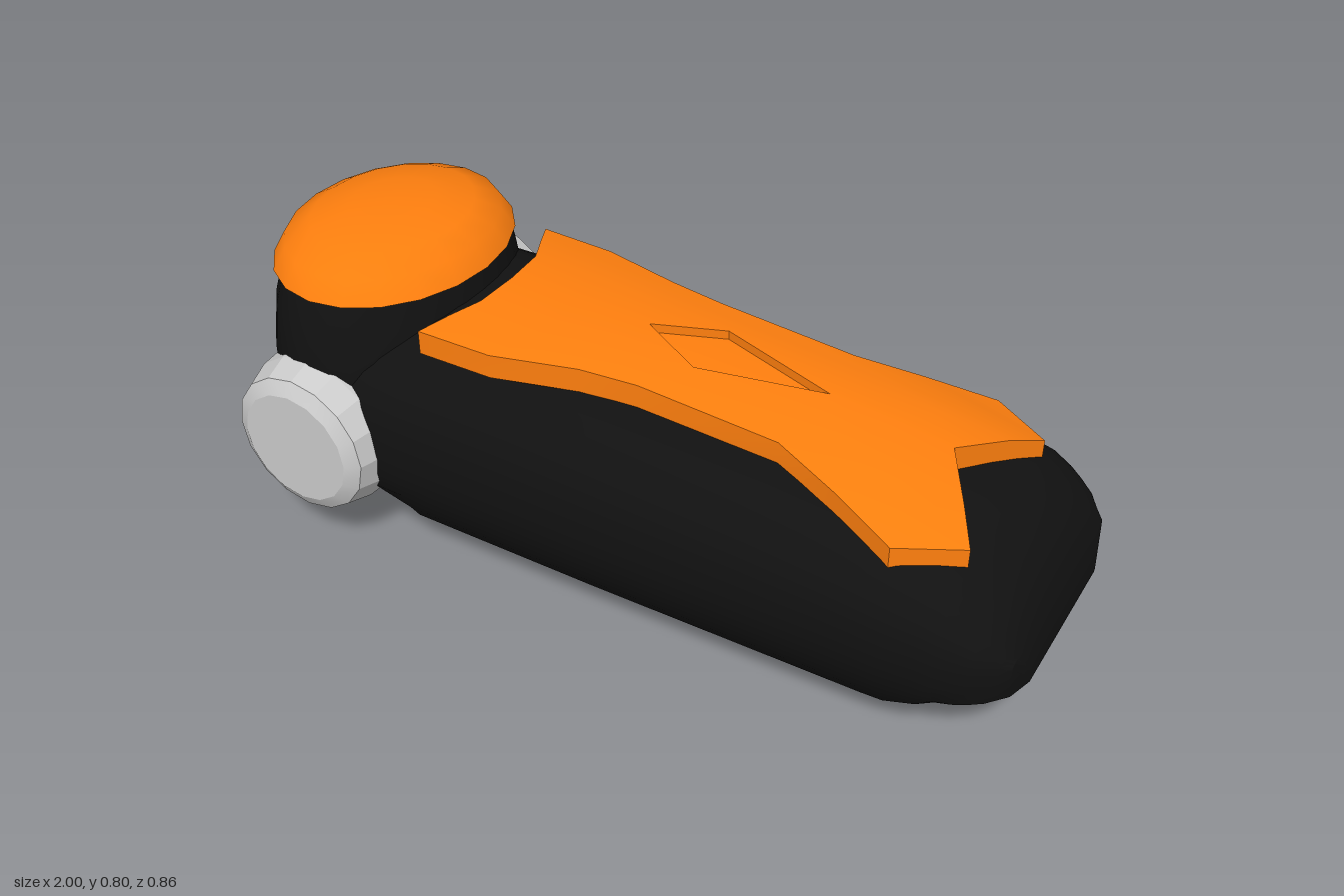
import * as THREE from 'three';
import { toCreasedNormals } from 'three/addons/utils/BufferGeometryUtils.js';

const black = new THREE.MeshStandardMaterial({ color: 0x111111 });
const orange = new THREE.MeshStandardMaterial({ color: 0xff7f0e });
const grey = new THREE.MeshStandardMaterial({ color: 0xcccccc });

// Piecewise linear lookup through [x, value] pairs
function lerpTable(table, x) {
  if (x <= table[0][0]) return table[0][1];
  for (let i = 1; i < table.length; i++) {
    const [x0, v0] = table[i - 1], [x1, v1] = table[i];
    if (x <= x1) return v0 + (v1 - v0) * (x - x0) / (x1 - x0);
  }
  return table[table.length - 1][1];
}

// Triangle collector turned into a geometry with sharp creases
function surface(build, crease) {
  const pos = [];
  const tri = (...pts) => pts.forEach(p => pos.push(...p));
  const quad = (a, b, c, d) => { tri(a, b, c); tri(a, c, d); };
  build(tri, quad);
  const g = new THREE.BufferGeometry();
  g.setAttribute('position', new THREE.Float32BufferAttribute(pos, 3));
  return toCreasedNormals(g, crease);
}

function part(group, name, geometry, material) {
  const m = new THREE.Mesh(geometry, material);
  m.name = name;
  group.add(m);
  return m;
}

// Height of the body's centre ridge, half-width, and the cut along its underside
const ridge = [[-1, 0.58], [-0.96, 0.62], [-0.5, 0.625], [-0.2, 0.625], [0, 0.62], [0.4, 0.595],
  [0.71, 0.56], [0.84, 0.525], [0.88, 0.5], [0.94, 0.44], [0.98, 0.36], [1, 0.275]];
const halfWidth = [[-1, 0.06], [-0.98, 0.14], [-0.94, 0.23], [-0.85, 0.305], [-0.75, 0.345], [-0.6, 0.366],
  [0, 0.372], [0.7, 0.367], [0.85, 0.35], [0.93, 0.32], [0.98, 0.27], [1, 0.2]];
const underside = [[-1, 0.38], [-0.97, 0.24], [-0.95, 0.17], [-0.9, 0.21], [-0.85, 0.24], [-0.65, 0.24],
  [-0.58, 0.205], [-0.34, 0], [0.58, 0], [0.8, 0.19], [0.88, 0.235], [1, 0.255]];

function bodyGeometry() {
  const xs = [-1, -0.98, -0.97, -0.95, -0.9, -0.85, -0.75, -0.65, -0.58, -0.5, -0.42, -0.34, -0.2, 0, 0.2, 0.4,
    0.58, 0.65, 0.72, 0.8, 0.84, 0.88, 0.91, 0.94, 0.96, 0.98, 1];
  const N = 40;
  const rings = xs.map(x => {
    const top = lerpTable(ridge, x), w = lerpTable(halfWidth, x), cut = lerpTable(underside, x);
    const mid = Math.min(0.34, top - 0.012);
    return Array.from({ length: N }, (_, j) => {
      const t = j / N * Math.PI * 2, c = Math.cos(t), s = Math.sin(t);
      const e = s > 0 ? 2 / 2.7 : 1;
      const z = w * Math.sign(c) * Math.abs(c) ** e;
      const y = s > 0 ? mid + (top - mid) * s ** e : mid + mid * s;
      return [x, Math.max(y, cut), z];
    });
  });
  return surface((tri, quad) => {
    for (let i = 0; i < xs.length - 1; i++) {
      for (let j = 0; j < N; j++) {
        const k = (j + 1) % N;
        quad(rings[i][j], rings[i + 1][j], rings[i + 1][k], rings[i][k]);
      }
    }
    const first = rings[0], last = rings[xs.length - 1];
    for (let j = 0; j < N; j++) {
      const k = (j + 1) % N;
      tri([-1, 0.48, 0], first[j], first[k]);
      tri([1, 0.26, 0], last[k], last[j]);
    }
  }, 0.55);
}

// Arched cover plate with notched ends and a sunken diamond
function plateGeometry() {
  const us = [0, 0.16, 0.333, 0.45, 0.739, 0.87, 1];
  const hs = [0.26, 0.255, 0.205, 0.188, 0.185, 0.235, 0.29];
  const vs = [-1, -0.72, -0.43, 0, 0.43, 0.72, 1];
  const back = [[0, -0.4], [0.35, -0.4], [1, -0.48]];
  const front = [[0, 0.71], [0.72, 0.84], [1, 0.7]];
  const thick = 0.06;
  const p = (i, j, drop = 0) => {
    const v = Math.abs(vs[j]);
    const x = THREE.MathUtils.lerp(lerpTable(back, v), lerpTable(front, v), us[i]);
    const z = vs[j] * hs[i];
    const bend = 0.4 + 0.37 * us[i];
    return [x, lerpTable(ridge, x) + thick - bend * z * z - drop, z];
  };
  const I = us.length - 1, J = vs.length - 1;
  return surface((tri, quad) => {
    for (let i = 0; i < I; i++) {
      for (let j = 0; j < J; j++) {
        const a = [i, j], b = [i, j + 1], c = [i + 1, j + 1], d = [i + 1, j];
        quad(p(...a, thick), p(...d, thick), p(...c, thick), p(...b, thick));
        const inDiamond = (i === 2 || i === 3) && (j === 2 || j === 3);
        if (!inDiamond) {
          quad(p(...a), p(...b), p(...c), p(...d));
          continue;
        }
        // Split the cell on the diamond's edge, sinking the inner half
        const corners = [a, b, c, d];
        const k = corners.findIndex(q => q[0] === 3 && q[1] === 3);
        const [q0, q1, q2, q3] = [0, 1, 2, 3].map(n => corners[(k + n) % 4]);
        const low = 0.022;
        tri(p(...q0, low), p(...q1, low), p(...q3, low));
        tri(p(...q1), p(...q2), p(...q3));
        quad(p(...q1), p(...q3), p(...q3, low), p(...q1, low));
      }
    }
    // Rim
    for (let i = 0; i < I; i++) {
      quad(p(i, J, thick), p(i + 1, J, thick), p(i + 1, J), p(i, J));
      quad(p(i, 0), p(i + 1, 0), p(i + 1, 0, thick), p(i, 0, thick));
    }
    for (let j = 0; j < J; j++) {
      quad(p(0, j, thick), p(0, j + 1, thick), p(0, j + 1), p(0, j));
      quad(p(I, j), p(I, j + 1), p(I, j + 1, thick), p(I, j, thick));
    }
  }, 0.5);
}

const lathe = (points, sides) =>
  new THREE.LatheGeometry(points.map(q => new THREE.Vector2(...q)), sides);

export function createModel() {
  const group = new THREE.Group();

  part(group, 'body', bodyGeometry(), black);
  part(group, 'coverPlate', plateGeometry(), orange);

  // Oval neck and cap at the rear end
  const neck = part(group, 'neck', toCreasedNormals(
    lathe([[0, 0.4], [0.362, 0.4], [0.36, 0.5], [0.34, 0.62], [0.315, 0.692], [0, 0.692]], 32), 0.6), black);
  neck.position.x = -0.735;
  neck.scale.x = 0.74;
  const cap = part(group, 'cap', toCreasedNormals(
    lathe([[0, 0.69], [0.325, 0.69], [0.29, 0.742], [0.22, 0.775], [0.12, 0.792], [0, 0.797]], 20), 0.7), orange);
  cap.position.x = -0.735;
  cap.scale.x = 0.265 / 0.325;

  // Faceted roller running across the body
  const rollerGeo = lathe([[0, -0.43], [0.145, -0.43], [0.18, -0.41], [0.2, -0.345], [0.205, -0.26],
    [0.205, 0.26], [0.2, 0.345], [0.18, 0.41], [0.145, 0.43], [0, 0.43]], 16);
  const roller = part(group, 'roller', toCreasedNormals(rollerGeo, 0.2), grey);
  roller.rotation.x = Math.PI / 2;
  roller.position.set(-0.745, 0.335, 0);

  // Grey panel set on the sloping front underside
  const outline = [[0.185, 0.185], [0.15, 0.125], [0.08, 0.09], [0, 0.08], [-0.08, 0.09], [-0.15, 0.125], [-0.185, 0.185]];
  const onSlope = ([z, y]) => [0.58 + 0.22 * y / 0.19 + 0.004, y - 0.004, z];
  const panel = surface(tri => {
    for (let i = 1; i < outline.length - 1; i++) {
      tri(onSlope(outline[0]), onSlope(outline[i]), onSlope(outline[i + 1]));
    }
  }, 0.1);
  const panelMaterial = grey.clone();
  panelMaterial.side = THREE.DoubleSide;
  part(group, 'frontPanel', panel, panelMaterial);

  return group;
}
